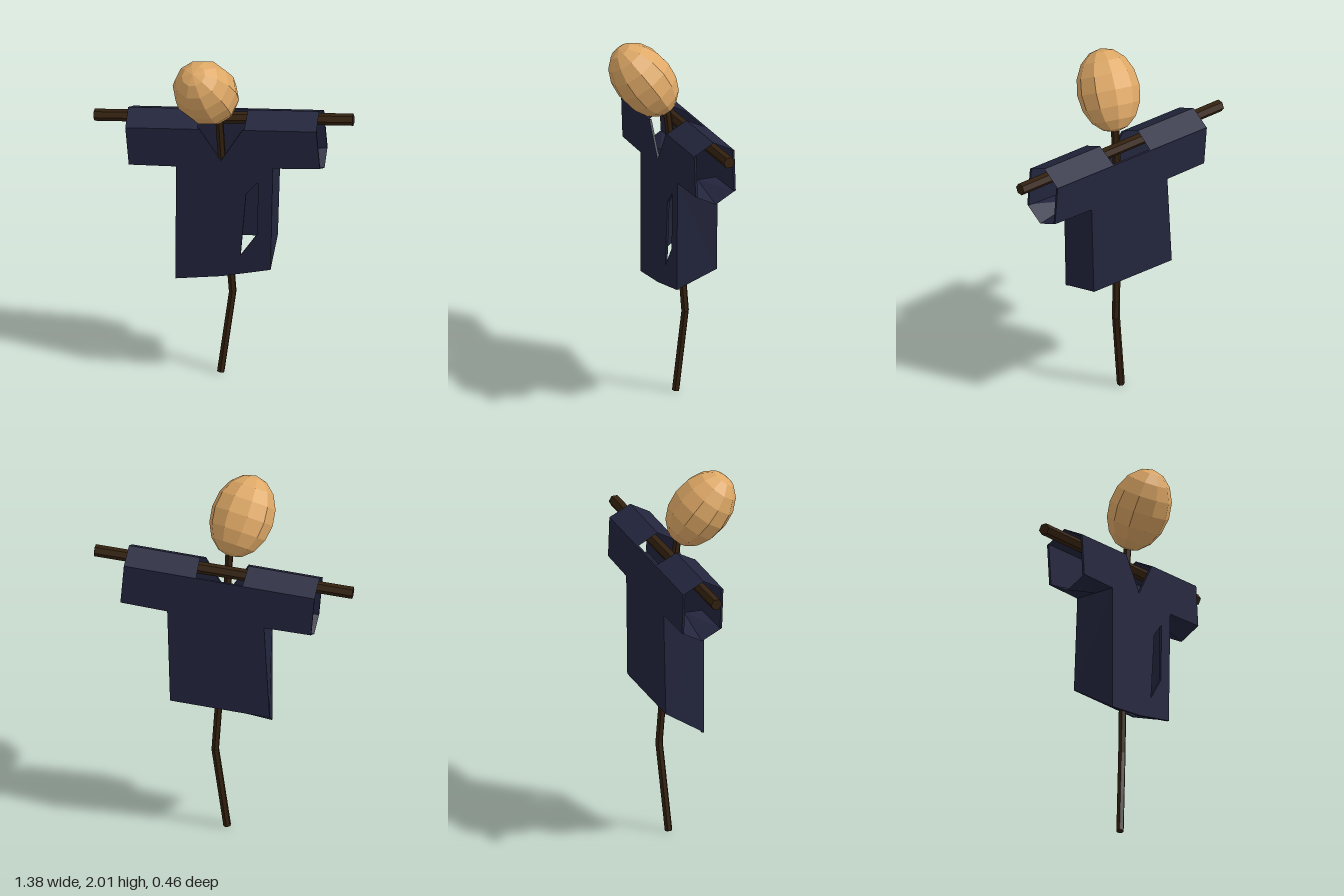
import * as THREE from 'three';

const mat = (color) => new THREE.MeshStandardMaterial({ color, flatShading: true, side: THREE.DoubleSide });
const cloth = mat(0x23253d), wood = mat(0x33210f), sack = mat(0xdea866);

function add(parent, name, geometry, material) {
  const mesh = new THREE.Mesh(geometry, material);
  mesh.name = name;
  parent.add(mesh);
  return mesh;
}

// Straight stick with six sides between two points
function stick(parent, name, a, b, radius) {
  const from = new THREE.Vector3(...a), to = new THREE.Vector3(...b);
  const dir = to.clone().sub(from);
  const mesh = add(parent, name, new THREE.CylinderGeometry(radius, radius, dir.length(), 6), wood);
  mesh.position.copy(from).add(to).multiplyScalar(0.5);
  mesh.quaternion.setFromUnitVectors(new THREE.Vector3(0, 1, 0), dir.normalize());
}

// Four-cornered cloth piece
function quad(parent, name, corners) {
  const g = new THREE.BufferGeometry();
  g.setAttribute('position', new THREE.Float32BufferAttribute(corners.flat(), 3));
  g.setIndex([0, 1, 2, 0, 2, 3]);
  g.computeVertexNormals();
  add(parent, name, g, cloth);
}

const shapeOf = (pts, Type = THREE.Shape) => new Type(pts.map((p) => new THREE.Vector2(...p)));

export function createModel() {
  const model = new THREE.Group();
  model.name = 'scarecrow';

  // Crooked post and crossbar
  const knee = [0.043, 0.48, -0.14], chest = [-0.008, 1.36, -0.09];
  stick(model, 'lowerPost', [-0.015, 0.002, -0.11], knee, 0.021);
  stick(model, 'upperPost', knee, chest, 0.021);
  stick(model, 'neckPost', chest, [-0.018, 1.68, -0.055], 0.022);
  stick(model, 'crossbar', [-0.69, 1.5, -0.114], [0.69, 1.612, -0.128], 0.032);

  // Stuffed head, leaning forward and to one side
  const head = add(model, 'head', new THREE.SphereGeometry(1, 10, 8), sack);
  head.scale.set(0.17, 0.224, 0.16);
  head.rotation.set(0.6, 0, 0.22);
  head.position.set(-0.065, 1.802, 0.052);

  // Shirt, hanging askew; its origin is the middle of the shoulder ridge
  const shirt = new THREE.Group();
  shirt.name = 'shirt';
  shirt.position.set(0, 1.61, -0.1125);
  shirt.rotation.z = 0.083;
  model.add(shirt);

  const D = 0.1125, T = 0.012;
  const end = 0.512, top = -0.06, low = -0.285, pit = 0.26;
  const hemFront = [[-0.318, -0.975], [-0.07, -0.955], [0.196, -0.91]];
  const hemBack = [[-0.335, -0.83], [0.2, -0.83]];

  // Front panel with V neck and a torn slit
  const front = shapeOf([[-end, top], [-end, low], [-pit, -0.29], ...hemFront, [pit, -0.29],
    [end, low], [end, top], [0.115, top], [-0.016, -0.25], [-0.115, top]]);
  front.holes.push(shapeOf([[0.174, -0.376], [0.143, -0.694], [0.042, -0.826], [0.103, -0.45]], THREE.Path));
  add(shirt, 'frontPanel', new THREE.ExtrudeGeometry(front, { depth: T, bevelEnabled: false }), cloth)
    .position.z = D - T;

  // Back panel with straight neckline
  const back = shapeOf([[-end, top], [-end, low], [-pit, -0.29], ...hemBack, [pit, -0.29], [end, low], [end, top]]);
  add(shirt, 'backPanel', new THREE.ExtrudeGeometry(back, { depth: T, bevelEnabled: false }), cloth)
    .position.z = -D - 0.003;

  for (const s of [-1, 1]) {
    const side = s > 0 ? 'left' : 'right';
    // Sloping sleeve tops and undersides, meeting along the centre ridge
    for (const f of [-1, 1]) {
      quad(shirt, side + 'SleeveTop', [[s * 0.13, 0, 0], [s * end, 0, 0], [s * end, top, f * D], [s * 0.125, top, f * D]]);
      quad(shirt, side + 'SleeveUnderside', [[s * pit, -0.29, 0], [s * end, -0.345, 0], [s * end, low, f * D], [s * pit, -0.29, f * D]]);
    }
    // Body side between front and back hem corners
    const hf = hemFront[s > 0 ? 2 : 0], hb = hemBack[s > 0 ? 1 : 0];
    quad(shirt, side + 'BodySide', [[s * pit, -0.29, D], [...hf, D], [...hb, -D], [s * pit, -0.29, -D]]);
  }
  return model;
}
